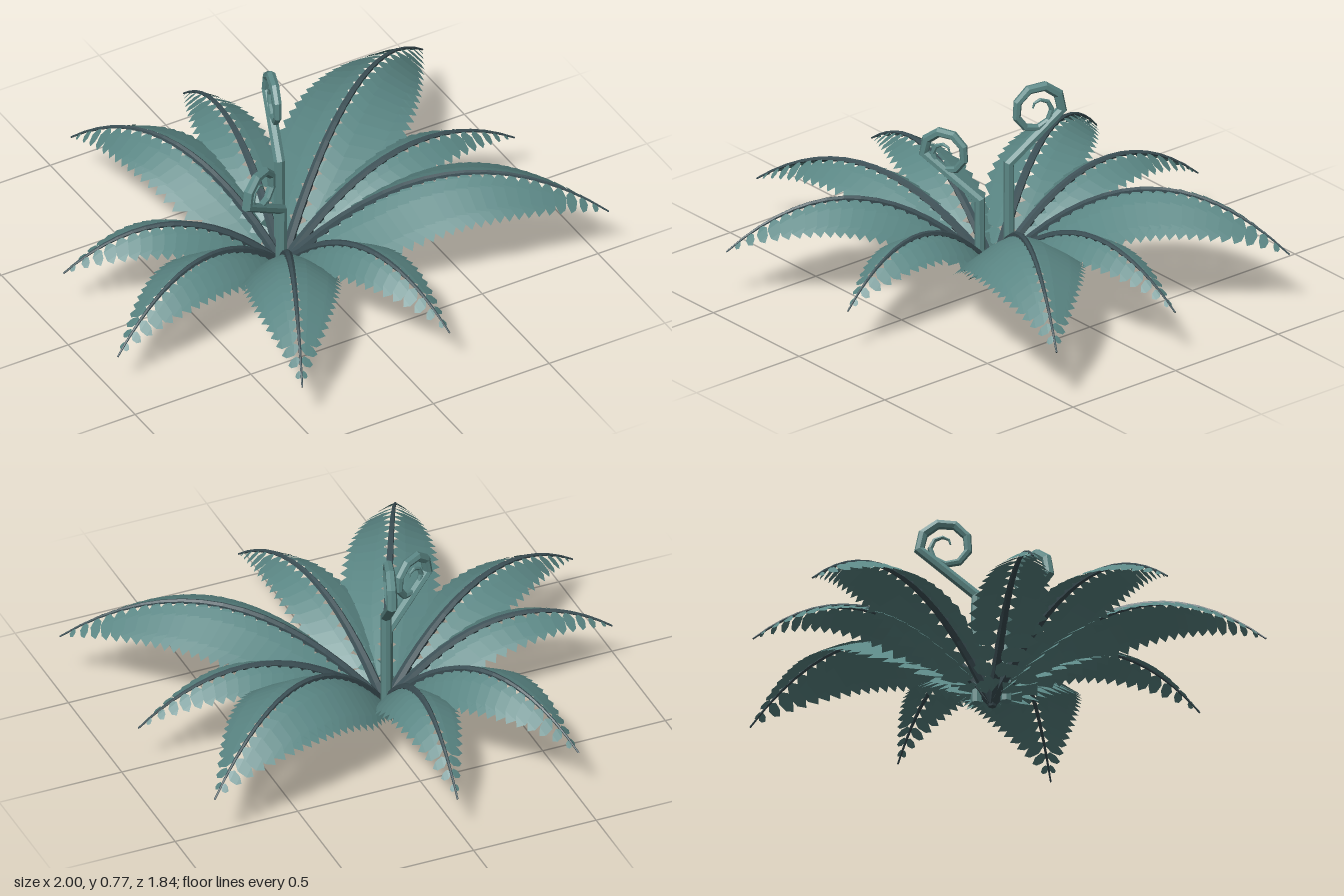
import * as THREE from 'three';

const leafMat = new THREE.MeshStandardMaterial({ color: 0x5b8785, side: THREE.DoubleSide, flatShading: true });
leafMat.name = 'leafTeal';
const stemMat = new THREE.MeshStandardMaterial({ color: 0x3d5157, flatShading: true });
stemMat.name = 'darkStem';

const CENTRE = new THREE.Vector3(-0.07, 0.018, -0.01);

// Curve that visits the given points exactly, one tube ring per point
class Polyline extends THREE.Curve {
  constructor(points) { super(); this.points = points; }
  at(i) { return this.points[THREE.MathUtils.clamp(i, 0, this.points.length - 1)]; }
  index(u) { return Math.round(u * (this.points.length - 1)); }
  getPoint(u) { return this.at(this.index(u)).clone(); }
  getPointAt(u) { return this.getPoint(u); }
  getTangentAt(u) {
    const i = this.index(u), p = this.at(i);
    const before = p.clone().sub(this.at(i - 1)).normalize();
    const after = this.at(i + 1).clone().sub(p).normalize();
    return before.add(after).normalize();
  }
}

// Tube whose radius follows radiusAt(u), closed at both ends
function taperedTube(points, radiusAt, sides) {
  const steps = points.length - 1;
  const geo = new THREE.TubeGeometry(new Polyline(points), steps, 1, sides, false);
  const pos = geo.attributes.position, nor = geo.attributes.normal;
  for (let i = 0; i < pos.count; i++) {
    const ring = Math.floor(i / (sides + 1));
    const p = points[ring], r = radiusAt(ring / steps);
    pos.setXYZ(i, p.x + nor.getX(i) * r, p.y + nor.getY(i) * r, p.z + nor.getZ(i) * r);
  }
  const index = Array.from(geo.index.array), last = steps * (sides + 1);
  for (let j = 1; j < sides - 1; j++) {
    index.push(0, j, j + 1, last, last + j + 1, last + j);
  }
  geo.setIndex(index);
  return geo;
}

// Half outline of a leaflet: fraction along it, fraction of its half width
const OUTLINE = [[0, 0.12], [0.1, 0.42], [0.32, 1], [0.75, 0.8], [1, 0]];

function makeFrond({ x, z, tip, peak, leaf }) {
  const frond = new THREE.Group();
  const flat = new THREE.Vector3(x - CENTRE.x, 0, z - CENTRE.z);
  const length = flat.length();

  // Arch through the base, the peak at 57 % and the tip
  const d = tip - CENTRE.y;
  const a = (peak - CENTRE.y - 0.325 * d) / 0.245, b = d - a;
  const pointAt = t => CENTRE.clone().addScaledVector(flat, t).setY(CENTRE.y + a * t + b * t * t);
  const tangentAt = t => flat.clone().setY(a + 2 * b * t).normalize();

  const path = Array.from({ length: 17 }, (_, i) => pointAt(i / 16));
  const rib = new THREE.Mesh(taperedTube(path, u => 0.021 - 0.0175 * u, 6), stemMat);
  rib.name = 'frondRib';
  frond.add(rib);

  // Overlapping drooping leaflets on both sides of the rib
  const positions = [], index = [];
  const side = new THREE.Vector3(-flat.z, 0, flat.x).normalize();
  const pairs = Math.round(length * 21);
  for (let k = 0; k < pairs; k++) {
    const t = 0.04 + 0.92 * k / (pairs - 1);
    const base = pointAt(t), along = tangentAt(t);
    const up = side.clone().cross(along).normalize();
    if (up.y < 0) up.negate();
    const len = leaf * Math.min(1, 0.42 + 2.2 * t) * (1 - t * t * t);
    const half = 0.01 + 0.19 * len;
    for (const s of [1, -1]) {
      const start = positions.length / 3;
      for (const [f, w] of OUTLINE) {
        const mid = base.clone().addScaledVector(side, s * len * f * 0.93)
          .addScaledVector(along, len * f * 0.25)
          .addScaledVector(up, -0.5 * len * Math.pow(f, 1.2));
        for (const e of [-1, 1]) {
          const p = mid.clone().addScaledVector(along, e * w * half)
            .addScaledVector(up, -e * w * half * 0.14);
          positions.push(p.x, p.y, p.z);
        }
      }
      for (let i = 0; i < OUTLINE.length - 1; i++) {
        const q = start + i * 2;
        if (s < 0) index.push(q, q + 1, q + 2, q + 1, q + 3, q + 2);
        else index.push(q, q + 2, q + 1, q + 1, q + 2, q + 3);
      }
    }
  }
  const geo = new THREE.BufferGeometry();
  geo.setAttribute('position', new THREE.Float32BufferAttribute(positions, 3));
  geo.setIndex(index);
  geo.computeVertexNormals();
  const leaflets = new THREE.Mesh(geo, leafMat);
  leaflets.name = 'frondLeaflets';
  frond.add(leaflets);
  return frond;
}

// Young shoot: straight stalk, a lean outwards, then an inward spiral
function makeShoot({ x, z, dir, bend, cx, cy, radius }) {
  const n = new THREE.Vector2(...dir).normalize();
  const place = (r, y) => new THREE.Vector3(x + n.x * r, y, z + n.y * r);
  const points = [place(0, 0.015), place(0, bend)];
  const steps = 13;
  for (let i = 0; i <= steps; i++) {
    const angle = -0.15 + i * 0.7;
    const r = radius * (1 - 0.8 * Math.pow(i / steps, 1.8));
    points.push(place(cx + r * Math.cos(angle), cy + r * Math.sin(angle)));
  }
  const mesh = new THREE.Mesh(taperedTube(points, u => 0.022 * (1 - 0.85 * Math.pow(u, 1.5)), 7), leafMat);
  mesh.name = 'curledShoot';
  return mesh;
}

export function createModel() {
  const model = new THREE.Group();
  model.name = 'fern';

  // Fronds, by tip position, tip height, arch height and leaflet length
  const fronds = [
    { x: 1.0, z: 0.58, tip: 0.25, peak: 0.44, leaf: 0.265 },
    { x: 0.9, z: -0.64, tip: 0.25, peak: 0.45, leaf: 0.275 },
    { x: 0.95, z: -0.04, tip: 0.21, peak: 0.36, leaf: 0.165 },
    { x: 0.03, z: -0.92, tip: 0.19, peak: 0.36, leaf: 0.165 },
    { x: -0.49, z: -0.86, tip: 0.22, peak: 0.39, leaf: 0.21 },
    { x: -0.94, z: -0.14, tip: 0.22, peak: 0.34, leaf: 0.165 },
    { x: -1.0, z: 0.37, tip: 0.185, peak: 0.345, leaf: 0.19 },
    { x: -0.52, z: 0.92, tip: 0.22, peak: 0.39, leaf: 0.215 },
    { x: 0.14, z: 0.88, tip: 0.2, peak: 0.35, leaf: 0.17 },
  ];
  fronds.forEach((spec, i) => {
    const frond = makeFrond(spec);
    frond.name = `frond${i + 1}`;
    model.add(frond);
  });

  // Two curled shoots in the middle
  model.add(makeShoot({ x: -0.05, z: -0.065, dir: [0.3, -0.95], bend: 0.46, cx: 0.115, cy: 0.66, radius: 0.1 }));
  model.add(makeShoot({ x: -0.1, z: 0.035, dir: [-0.9, 0.44], bend: 0.32, cx: 0.14, cy: 0.485, radius: 0.09 }));

  // Crown where everything meets
  const crown = new THREE.Mesh(new THREE.CylinderGeometry(0.03, 0.015, 0.04, 7), stemMat);
  crown.name = 'crown';
  crown.position.set(CENTRE.x, 0.02, CENTRE.z);
  model.add(crown);
  return model;
}
